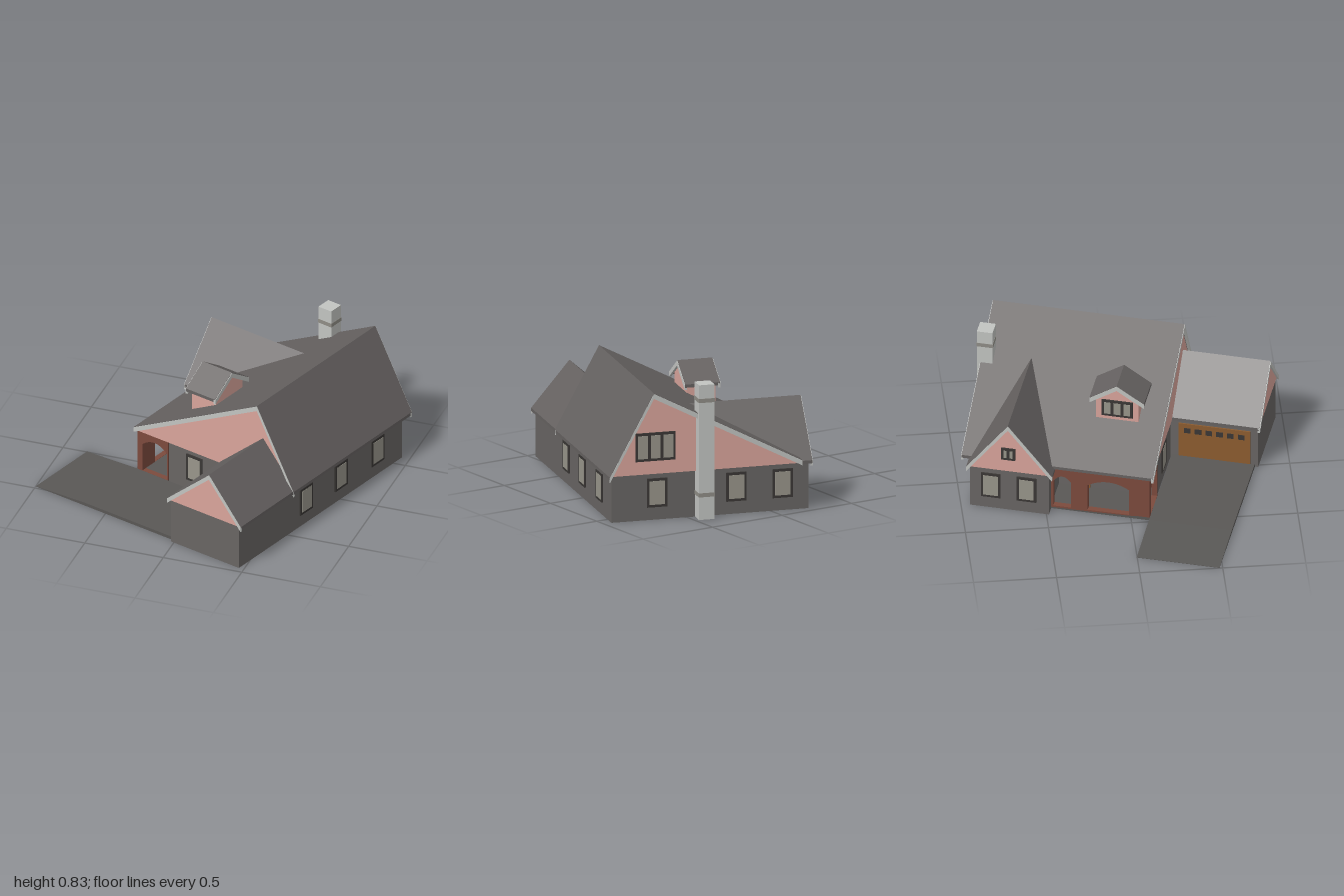
import * as THREE from 'three';

const mat = (name, color, side = THREE.FrontSide) => {
  const m = new THREE.MeshStandardMaterial({ color, side });
  m.name = name;
  return m;
};

export function createModel() {
  const M = {
    roof: mat('roof slate', 0x666261),
    wall: mat('wall grey', 0x686563, THREE.DoubleSide),
    pink: mat('gable pink', 0xd9a49b, THREE.DoubleSide),
    trim: mat('trim light grey', 0xc2c4c1),
    brick: mat('porch brick', 0x7c4a3d),
    frame: mat('window frame', 0x3a3735),
    glass: mat('window pane', 0x98958a),
    door: mat('garage door wood', 0x8c5c30),
    paving: mat('paving', 0x595755),
    band: mat('chimney band', 0x8f8d86),
  };
  const model = new THREE.Group();
  const house = new THREE.Group();
  house.name = 'house';
  house.rotation.y = -0.303; // the house stands at an angle on its plot
  model.add(house);

  const add = (parent, name, geo, material, x = 0, y = 0, z = 0) => {
    const m = new THREE.Mesh(geo, material);
    m.name = name;
    m.position.set(x, y, z);
    parent.add(m);
    return m;
  };
  // box given by its minimum and maximum corners
  const block = (parent, name, a, b, material) =>
    add(parent, name, new THREE.BoxGeometry(b[0] - a[0], b[1] - a[1], b[2] - a[2]), material,
      (a[0] + b[0]) / 2, (a[1] + b[1]) / 2, (a[2] + b[2]) / 2);
  // polygon in x,y extruded from z0 to z1
  const prism = (parent, name, pts, z0, z1, material) => {
    const shape = new THREE.Shape(pts.map(p => new THREE.Vector2(p[0], p[1])));
    const geo = new THREE.ExtrudeGeometry(shape, { depth: z1 - z0, bevelEnabled: false });
    return add(parent, name, geo, material, 0, 0, z0);
  };
  // folded roof through eave, ridge, eave, with pale boards under its open ends
  const gableRoof = (parent, name, [l, r, e], z0, z1, ends = [true, true]) => {
    const chevron = (top, t) => [
      [l[0], l[1] - t], [r[0], r[1] - t], [e[0], e[1] - t],
      [e[0], e[1] - top], [r[0], r[1] - top], [l[0], l[1] - top]];
    prism(parent, name, chevron(0, 0.02), z0, z1, M.roof);
    if (ends[0]) prism(parent, name + 'BackTrim', chevron(0.003, 0.034), z0 - 0.003, z0 + 0.012, M.trim);
    if (ends[1]) prism(parent, name + 'FrontTrim', chevron(0.003, 0.034), z1 - 0.012, z1 + 0.003, M.trim);
  };
  // framed window, facing +z before it is turned
  const addWindow = (parent, w, h, x, y, z, turn, panes = 1) => {
    const g = new THREE.Group();
    g.name = 'window';
    g.position.set(x, y, z);
    g.rotation.y = turn;
    add(g, 'windowFrame', new THREE.BoxGeometry(w, h, 0.009), M.frame, 0, 0, 0.004);
    const step = (w - 0.012) / panes;
    for (let i = 0; i < panes; i++)
      add(g, 'windowPane', new THREE.BoxGeometry(step - 0.018, h - 0.032, 0.003), M.glass,
        (i - (panes - 1) / 2) * step, 0, 0.009);
    parent.add(g);
  };
  const RIGHT = Math.PI / 2, BACK = Math.PI, LEFT = -Math.PI / 2;

  // ground floor walls along the footprint, open below
  const plan = [[0.725, -0.83], [0.725, 0.77], [0.23, 0.77], [0.23, 0.235],
    [-0.2, 0.235], [-0.2, -0.36], [-0.49, -0.36], [-0.49, -0.83]];
  plan.forEach((p, i) => {
    const q = plan[(i + 1) % plan.length], t = 0.007;
    block(house, 'wall',
      [Math.min(p[0], q[0]) - t, 0, Math.min(p[1], q[1]) - t],
      [Math.max(p[0], q[0]) + t, 0.305, Math.max(p[1], q[1]) + t], M.wall);
  });

  // main attic and roof
  prism(house, 'mainGable', [[-0.43, 0.29], [0.735, 0.29], [0.735, 0.32], [0.485, 0.782], [-0.43, 0.305]],
    -0.86, 0.255, M.pink);
  gableRoof(house, 'mainRoof', [[-0.44, 0.32], [0.485, 0.8], [0.76, 0.298]], -0.9, 0.272);

  // garage wing
  prism(house, 'garageGable', [[0.225, 0.29], [0.732, 0.29], [0.732, 0.312], [0.518, 0.564], [0.225, 0.304]],
    0.762, 0.782, M.pink);
  gableRoof(house, 'garageRoof', [[0.203, 0.305], [0.518, 0.58], [0.757, 0.3]], 0.25, 0.79, [false, true]);
  const garageDoor = new THREE.Group();
  garageDoor.name = 'garageDoor';
  house.add(garageDoor);
  block(garageDoor, 'doorLeaf', [0.214, 0.02, 0.29], [0.222, 0.26, 0.73], M.door);
  for (let i = 0; i < 6; i++)
    block(garageDoor, 'doorLight', [0.211, 0.195, 0.325 + i * 0.066], [0.215, 0.23, 0.365 + i * 0.066], M.frame);

  // rear side wing: local z points to the side of the house, local x to its front
  const wing = new THREE.Group();
  wing.name = 'sideWing';
  wing.rotation.y = LEFT;
  house.add(wing);
  prism(wing, 'wingGable', [[-0.84, 0.29], [-0.35, 0.29], [-0.35, 0.308], [-0.6, 0.624], [-0.84, 0.308]],
    -0.05, 0.502, M.pink);
  gableRoof(wing, 'wingRoof', [[-0.855, 0.3], [-0.6, 0.64], [-0.33, 0.3]], -0.18, 0.518, [false, true]);
  for (const a of [-0.708, -0.49]) addWindow(wing, 0.12, 0.175, a, 0.168, 0.497, 0);
  addWindow(wing, 0.085, 0.085, -0.6, 0.42, 0.502, 0, 2);

  // dormer on the long slope
  const dormer = new THREE.Group();
  dormer.name = 'dormer';
  dormer.rotation.y = LEFT;
  house.add(dormer);
  prism(dormer, 'dormerBody', [[-0.143, 0.42], [0.117, 0.42], [0.117, 0.645], [-0.013, 0.732], [-0.143, 0.645]],
    -0.06, 0.12, M.pink);
  gableRoof(dormer, 'dormerRoof', [[-0.18, 0.64], [-0.013, 0.75], [0.154, 0.64]], -0.079, 0.139);
  addWindow(dormer, 0.19, 0.115, -0.013, 0.57, 0.12, 0, 3);

  // brick porch: one wall with arched openings [from, to] on each outer side
  const arcade = (parent, name, from, to, openings, z0, z1) => {
    const shape = new THREE.Shape();
    shape.moveTo(from, 0.01).lineTo(to, 0.01).lineTo(to, 0.295).lineTo(from, 0.295).closePath();
    for (const [a, b] of openings) {
      const hole = new THREE.Path();
      hole.moveTo(a, 0.021).lineTo(a, 0.205);
      hole.quadraticCurveTo((a + b) / 2, 0.285, b, 0.205);
      hole.lineTo(b, 0.021).closePath();
      shape.holes.push(hole);
    }
    const geo = new THREE.ExtrudeGeometry(shape, { depth: z1 - z0, bevelEnabled: false, curveSegments: 10 });
    add(parent, name, geo, M.brick, 0, 0, z0);
  };
  const porchSide = new THREE.Group();
  porchSide.name = 'porchSide';
  porchSide.rotation.y = LEFT;
  house.add(porchSide);
  arcade(porchSide, 'sideArches', -0.353, 0.25, [[-0.34, -0.23], [-0.13, 0.125]], 0.395, 0.431);
  arcade(house, 'frontArch', -0.43, -0.2, [[-0.393, -0.21]], 0.214, 0.25);
  block(house, 'porchFloor', [-0.431, 0, -0.353], [-0.2, 0.02, 0.25], M.paving);
  block(house, 'frontDoor', [-0.216, 0.02, -0.27], [-0.207, 0.25, -0.16], M.door);
  addWindow(house, 0.16, 0.15, -0.207, 0.17, 0.03, LEFT, 2);

  // driveway, ramping down at its far end
  prism(house, 'driveway', [[-0.81, 0], [0.22, 0], [0.22, 0.02], [-0.45, 0.02], [-0.81, 0.002]],
    0.25, 0.757, M.paving);

  // remaining windows
  for (const z of [0.114, -0.23, -0.593]) addWindow(house, 0.125, 0.178, 0.732, 0.168, z, RIGHT);
  addWindow(house, 0.118, 0.178, -0.005, 0.168, 0.242, 0);
  for (const x of [-0.335, -0.047, 0.448]) addWindow(house, 0.125, 0.178, x, 0.168, -0.837, BACK);
  addWindow(house, 0.25, 0.175, 0.465, 0.46, -0.86, BACK, 3);

  // chimney against the rear wall
  block(house, 'chimney', [0.114, 0, -0.922], [0.21, 0.835, -0.826], M.trim);
  for (const y of [0.14, 0.725])
    block(house, 'chimneyBand', [0.112, y, -0.924], [0.212, y + 0.025, -0.824], M.band);

  return model;
}
